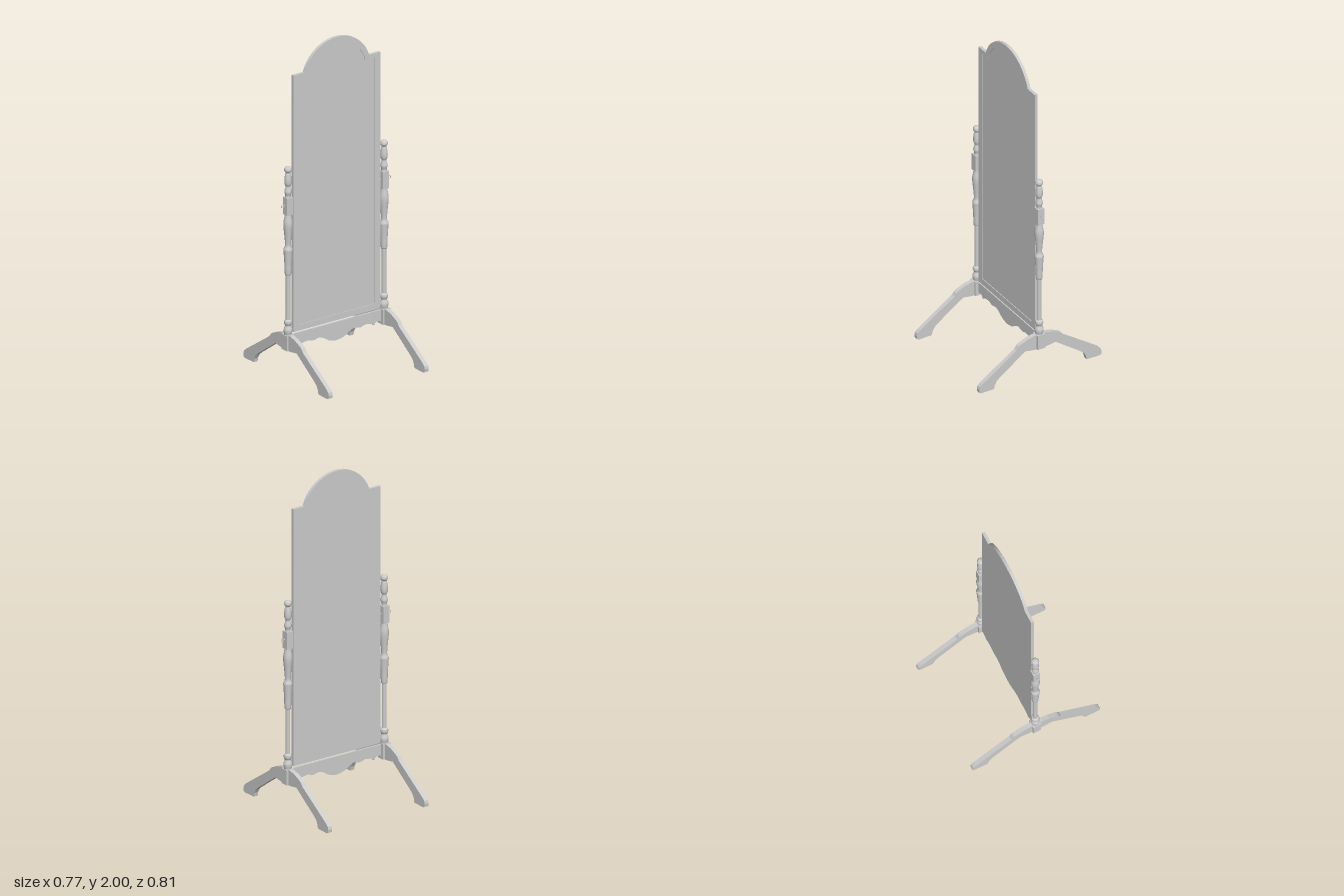
import * as THREE from 'three';

const material = new THREE.MeshStandardMaterial({ color: 0xcccccc, side: THREE.DoubleSide });
const V = (x, y) => new THREE.Vector2(x, y);
const POST_X = 0.338;

function add(parent, name, geometry, x = 0, y = 0, z = 0) {
  const mesh = new THREE.Mesh(geometry, material);
  mesh.name = name;
  mesh.position.set(x, y, z);
  parent.add(mesh);
  return mesh;
}

// Extrudes a shape so its thickness is centred on z = 0
function slab(shape, depth) {
  const g = new THREE.ExtrudeGeometry(shape, { depth, bevelEnabled: false, curveSegments: 20 });
  return g.translate(0, 0, -depth / 2);
}

// Rectangle with square shoulders and a circular arched crown
function archOutline(halfWidth, bottom, shoulder, archHalf, top) {
  const rise = top - shoulder;
  const r = (archHalf * archHalf + rise * rise) / (2 * rise);
  const a = Math.asin(archHalf / r);
  const pts = [V(-halfWidth, bottom), V(halfWidth, bottom), V(halfWidth, shoulder)];
  for (let i = 0; i <= 20; i++) {
    const t = a - (2 * a * i) / 20;
    pts.push(V(r * Math.sin(t), top - r + r * Math.cos(t)));
  }
  pts.push(V(-halfWidth, shoulder));
  return pts;
}

// Closed shape from one half profile, mirrored across x = 0
function mirroredShape(half) {
  const other = half.filter(([x]) => x > 0).reverse().map(([x, y]) => [-x, y]);
  return new THREE.Shape([...half, ...other].map(([x, y]) => V(x, y)));
}

// Turned section: smooth curve through [radius, height] points, closed on the axis
function turning(points) {
  const curve = new THREE.SplineCurve(points.map(([r, y]) => V(r, y)));
  const profile = curve.getPoints(points.length * 4).map(p => V(Math.max(p.x, 0), p.y));
  return new THREE.LatheGeometry([V(0, points[0][1]), ...profile], 20);
}

function createMirror() {
  const group = new THREE.Group();
  group.name = 'mirror';
  const inner = archOutline(0.268, 0.312, 1.81, 0.2, 1.965);
  const border = new THREE.Shape(archOutline(0.305, 0.275, 1.836, 0.228, 2));
  border.holes.push(new THREE.Path(inner));
  add(group, 'mirrorFrame', slab(border, 0.018));
  // Glass sits slightly behind the frame front, flush with its back
  add(group, 'mirrorGlass', slab(new THREE.Shape(inner), 0.014), 0, 0, -0.002);
  return group;
}

function createPost(side) {
  const group = new THREE.Group();
  group.name = side > 0 ? 'leftPost' : 'rightPost';
  group.position.x = side * POST_X;

  // Finial and upper beads
  add(group, 'finial', turning([
    [0.017, 1.1], [0.016, 1.115], [0.021, 1.135], [0.015, 1.16], [0.014, 1.17],
    [0.02, 1.185], [0.021, 1.21], [0.017, 1.24], [0.014, 1.252], [0.021, 1.262],
    [0.022, 1.273], [0.016, 1.285], [0, 1.29],
  ]));
  add(group, 'pivotBlock', new THREE.BoxGeometry(0.042, 0.105, 0.042), 0, 1.05, 0);
  // Vase-shaped middle
  add(group, 'vaseTurning', turning([
    [0.018, 0.632], [0.02, 0.66], [0.021, 0.7], [0.025, 0.765], [0.026, 0.785],
    [0.019, 0.802], [0.017, 0.82], [0.021, 0.87], [0.026, 0.92], [0.026, 0.95],
    [0.021, 0.98], [0.018, 1.0],
  ]));
  add(group, 'shaft', new THREE.CylinderGeometry(0.0135, 0.0135, 0.3, 20), 0, 0.49, 0);
  add(group, 'lowerTurning', turning([
    [0.021, 0.265], [0.025, 0.285], [0.025, 0.3], [0.018, 0.318], [0.018, 0.325],
    [0.023, 0.336], [0.022, 0.352], [0.013, 0.36],
  ]));
  add(group, 'footBlock', new THREE.BoxGeometry(0.052, 0.092, 0.05), 0, 0.222, 0);

  // Pivot pin with its turning ring
  const pin = add(group, 'pivotPin', new THREE.CylinderGeometry(0.003, 0.003, 0.064, 8), 0, 1.055, 0);
  pin.rotation.z = Math.PI / 2;
  add(group, 'pinRing', new THREE.TorusGeometry(0.009, 0.002, 8, 16), side * 0.037, 1.055, 0);
  return group;
}

// Arched pair of splayed legs with flared feet
function createLegs(side) {
  const shape = mirroredShape([
    [0, 0.27], [0.04, 0.268], [0.08, 0.259], [0.13, 0.237], [0.143, 0.229], [0.157, 0.209],
    [0.385, 0.056], [0.4, 0.042], [0.405, 0.025], [0.403, 0.006], [0.39, 0], [0.306, 0.002],
    [0.302, 0.025], [0.288, 0.05], [0.265, 0.069], [0.1, 0.185], [0.06, 0.178], [0, 0.172],
  ]);
  const geometry = slab(shape, 0.027).rotateY(Math.PI / 2);
  const legs = new THREE.Mesh(geometry, material);
  legs.name = side > 0 ? 'leftLegs' : 'rightLegs';
  legs.position.x = side * POST_X;
  return legs;
}

// Stretcher with a scalloped lower edge
function createRail() {
  const edge = new THREE.SplineCurve([
    [0.315, 0.194], [0.29, 0.2], [0.272, 0.191], [0.262, 0.179], [0.25, 0.19], [0.225, 0.196],
    [0.2, 0.199], [0.17, 0.19], [0.15, 0.192], [0.12, 0.197], [0.09, 0.186], [0.05, 0.162], [0, 0.152],
  ].map(([x, y]) => V(x, y))).getPoints(48).map(p => [p.x, p.y]);
  edge[edge.length - 1][0] = 0;
  const shape = mirroredShape([[0, 0.263], [0.315, 0.263], ...edge]);
  const rail = new THREE.Mesh(slab(shape, 0.012), material);
  rail.name = 'scallopedRail';
  return rail;
}

export function createModel() {
  const model = new THREE.Group();
  model.name = 'standingMirror';
  model.add(createMirror(), createRail());
  for (const side of [-1, 1]) model.add(createPost(side), createLegs(side));
  return model;
}
